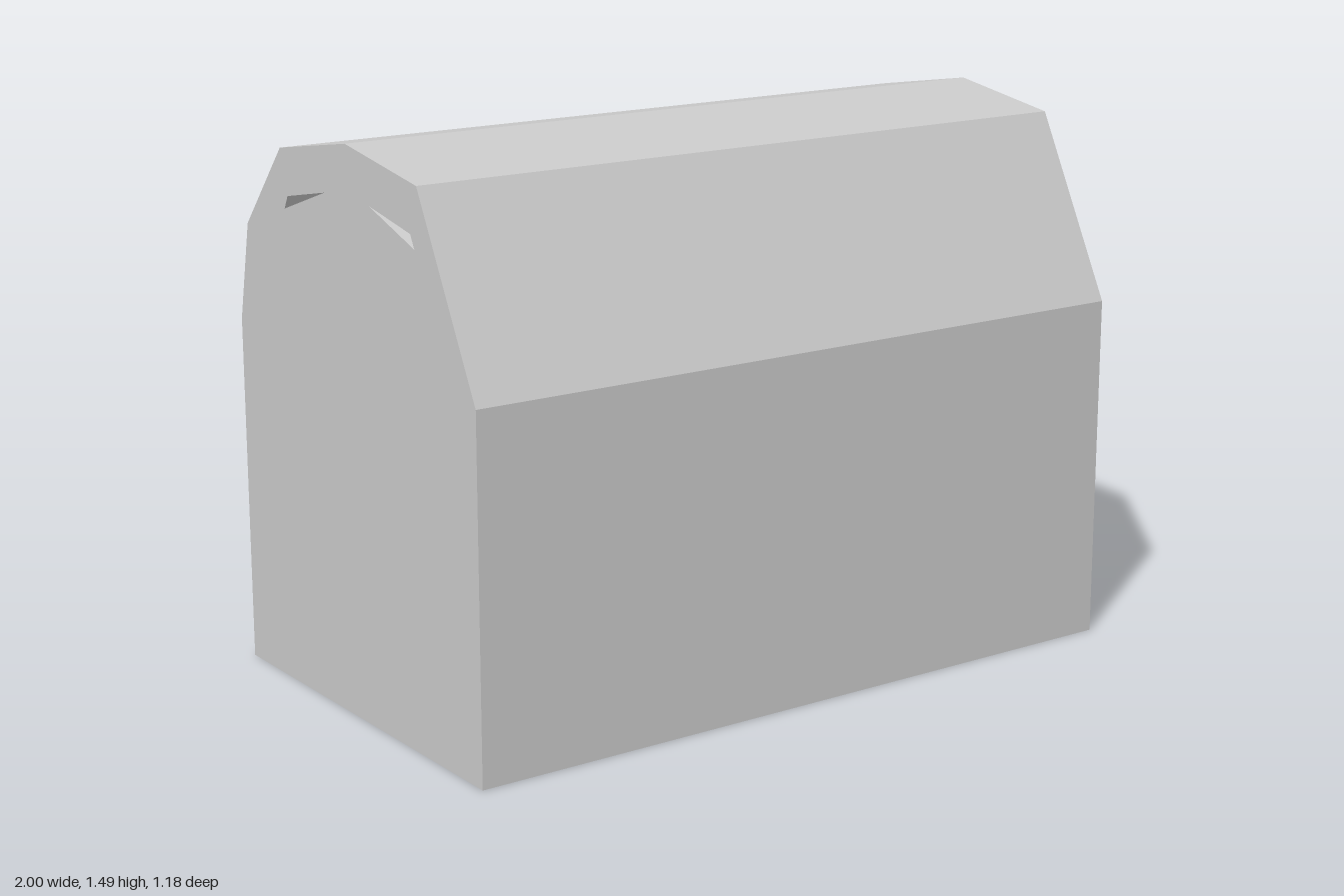
import * as THREE from 'three';

export function createModel() {
  const group = new THREE.Group();
  group.name = 'barrelRoofedBlock';

  // End profile as [z, y]: straight walls, one steep front slope, faceted back
  const profile = [
    [0.59, 0], [-0.59, 0], [-0.59, 0.945], [-0.535, 1.21],
    [-0.34, 1.435], [0, 1.49], [0.34, 1.435], [0.59, 0.945],
  ];
  // Sliver-shaped slot, mirrored front to back
  const slot = [[0.325, 1.28], [0.307, 1.315], [0.11, 1.353]];

  // Shape x is -z so that a quarter turn sends the extrusion along x
  const toPoints = (list, side = 1) => list.map(([z, y]) => new THREE.Vector2(-z * side, y));

  const shape = new THREE.Shape(toPoints(profile));
  for (const side of [1, -1]) shape.holes.push(new THREE.Path(toPoints(slot, side)));

  const geometry = new THREE.ExtrudeGeometry(shape, { depth: 2, bevelEnabled: false });
  geometry.translate(0, 0, -1);
  geometry.rotateY(Math.PI / 2);

  const body = new THREE.Mesh(
    geometry,
    new THREE.MeshStandardMaterial({ color: 0xcccccc, flatShading: true }),
  );
  body.name = 'body';
  group.add(body);
  return group;
}
